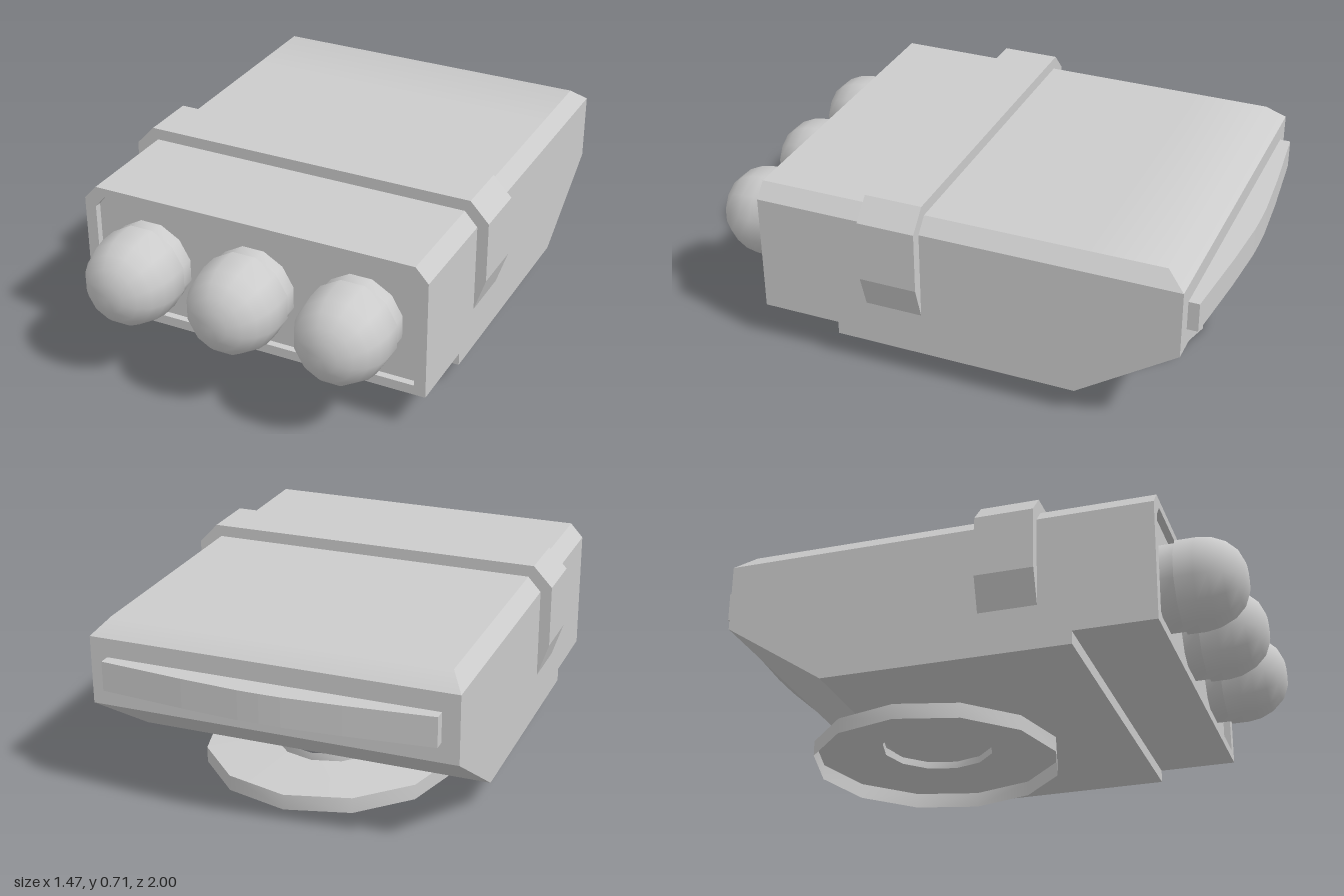
import * as THREE from 'three';
import { toCreasedNormals } from 'three/addons/utils/BufferGeometryUtils.js';

const grey = new THREE.MeshStandardMaterial({ color: 0xcccccc });
const greyDouble = new THREE.MeshStandardMaterial({ color: 0xcccccc, side: THREE.DoubleSide });

function part(name, geometry, material = grey) {
  const mesh = new THREE.Mesh(geometry, material);
  mesh.name = name;
  return mesh;
}

// Six-sided cross-section with chamfered top corners, counter-clockwise from the front
function section(z, bottom, top = 0.67, wide = 0.69, shoulder = 0.615, narrow = 0.64) {
  return [[-wide, bottom], [wide, bottom], [wide, shoulder], [narrow, top], [-narrow, top], [-wide, shoulder]]
    .map(([x, y]) => new THREE.Vector3(x, y, z));
}

// Flat-shaded skin over cross-sections, capped at both ends
function loft(sections) {
  const pos = [];
  const tri = (a, b, c) => {
    if (new THREE.Triangle(a, b, c).getArea() < 1e-6) return;
    for (const p of [a, b, c]) pos.push(p.x, p.y, p.z);
  };
  const n = sections[0].length;
  for (let i = 0; i < sections.length - 1; i++) {
    const s = sections[i], t = sections[i + 1];
    for (let k = 0; k < n; k++) {
      const m = (k + 1) % n;
      tri(s[k], s[m], t[m]);
      tri(s[k], t[m], t[k]);
    }
  }
  const first = sections[0], last = sections[sections.length - 1];
  for (let k = 1; k < n - 1; k++) {
    tri(first[0], first[k + 1], first[k]);
    tri(last[0], last[k], last[k + 1]);
  }
  const geometry = new THREE.BufferGeometry();
  geometry.setAttribute('position', new THREE.Float32BufferAttribute(pos, 3));
  geometry.computeVertexNormals();
  return geometry;
}

function makeBody() {
  const geometry = loft([
    section(-0.912, 0.355, 0.615, 0.69, 0.615, 0.69), // back edge
    section(-0.84, 0.307),
    section(-0.53, 0.1),
    section(0.07, 0.1),
    section(0.415, 0.1), // step under the nose
    section(0.415, 0.15),
    section(0.722, 0.15),
    section(0.722, 0.188, 0.635, 0.645, 0.588, 0.604), // rim of the front recess
    section(0.695, 0.188, 0.635, 0.645, 0.588, 0.604),
  ]);
  // Soften the rear bend of the roof
  const p = geometry.attributes.position, nrm = geometry.attributes.normal;
  for (let i = 0; i < p.count; i++) {
    if (Math.abs(p.getZ(i) + 0.84) < 1e-3 && nrm.getY(i) > 0.5 && Math.abs(nrm.getX(i)) < 0.1) {
      nrm.setXYZ(i, 0, 0.94, -0.34);
    }
  }
  return part('body', geometry);
}

function extrude(points, depth) {
  const shape = new THREE.Shape(points.map(([x, y]) => new THREE.Vector2(x, y)));
  return new THREE.ExtrudeGeometry(shape, { depth, bevelEnabled: false });
}

function lathe(points, start = 0) {
  const profile = points.map(([r, y]) => new THREE.Vector2(r, y));
  return toCreasedNormals(new THREE.LatheGeometry(profile, 12, start), 0.7);
}

export function createModel() {
  const model = new THREE.Group();
  model.name = 'launcherPod';
  model.add(makeBody());

  // Raised strap over the roof and sides
  const half = [[0.69, 0.27], [0.733, 0.4], [0.733, 0.637], [0.66, 0.715]];
  const mirrored = half.map(([x, y]) => [-x, y]).reverse();
  const strap = part('strap', extrude([...half, ...mirrored], 0.222));
  strap.position.z = 0.068;
  model.add(strap);

  // Bowed plate on the back; shape drawn in x and -z, then laid flat
  const plate = part('rearPlate', extrude([
    [-0.625, 0.9], [0.625, 0.9], [0.625, 0.953], [0.3, 0.984], [0.08, 0.999],
    [0, 1], [-0.08, 0.999], [-0.3, 0.984], [-0.625, 0.953],
  ], 0.113));
  plate.rotation.x = -Math.PI / 2;
  plate.position.y = 0.43;
  model.add(plate);

  // Row of domed warheads, each on a slightly narrower collar
  const k = 1 / Math.cos(Math.PI / 12);
  const domeProfile = [
    [0.16, 0.69], [0.16, 0.76], [0.17, 0.76], [0.17, 0.83], [0.162, 0.88], [0.14, 0.93],
    [0.103, 0.971], [0.055, 0.994], [0, 1],
  ].map(([r, y]) => [r * k, y]);
  const domeGeometry = lathe(domeProfile, Math.PI / 12);
  for (const [name, x] of [['rightDome', -0.425], ['middleDome', 0], ['leftDome', 0.425]]) {
    const dome = part(name, domeGeometry);
    dome.rotation.x = Math.PI / 2;
    dome.position.set(x, 0.4, 0);
    model.add(dome);
  }

  // Hollow turntable with a short neck, open underneath
  const base = part('turntable', lathe([[0.483, 0], [0.483, 0.06], [0.218, 0.072], [0.218, 0.102]]), greyDouble);
  base.position.z = -0.328;
  model.add(base);

  return model;
}
